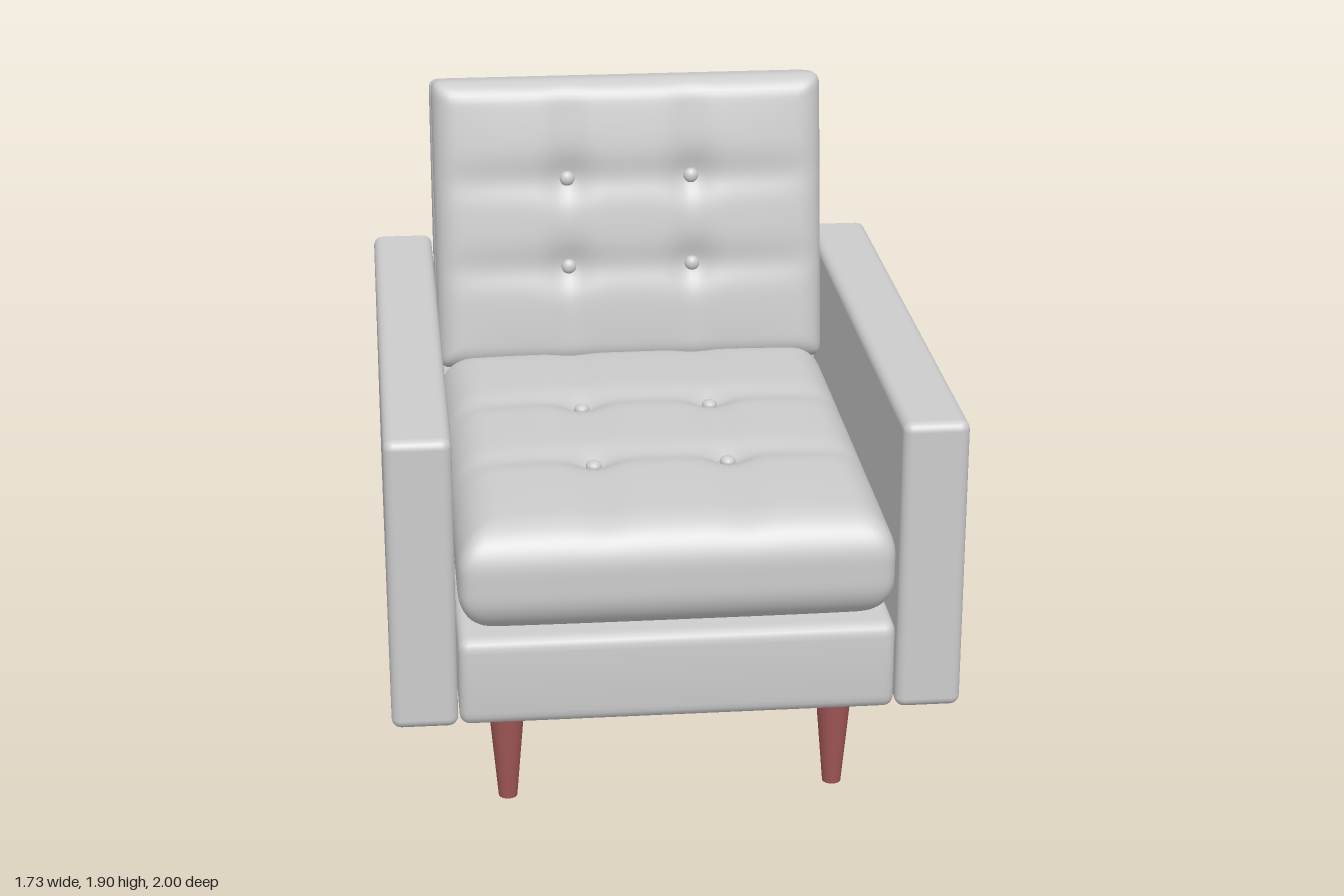
import * as THREE from 'three';
import { mergeVertices, toCreasedNormals } from 'three/addons/utils/BufferGeometryUtils.js';
import { RoundedBoxGeometry } from 'three/addons/geometries/RoundedBoxGeometry.js';

const fabric = new THREE.MeshStandardMaterial({ color: 0xcccccc });
const wood = new THREE.MeshStandardMaterial({ color: 0xa05656 });

function part(name, geometry, material, x = 0, y = 0, z = 0) {
  const mesh = new THREE.Mesh(geometry, material);
  mesh.name = name;
  mesh.position.set(x, y, z);
  return mesh;
}

// Closed outline with every corner softened by radius r
function softOutline(points, r) {
  const shape = new THREE.Shape();
  const pts = points.map(([x, y]) => new THREE.Vector2(x, y));
  pts.forEach((p, i) => {
    const prev = pts[(i + pts.length - 1) % pts.length];
    const next = pts[(i + 1) % pts.length];
    const a = prev.clone().sub(p).setLength(r).add(p);
    const b = next.clone().sub(p).setLength(r).add(p);
    if (i === 0) shape.moveTo(a.x, a.y);
    else shape.lineTo(a.x, a.y);
    shape.quadraticCurveTo(p.x, p.y, b.x, b.y);
  });
  shape.closePath();
  return shape;
}

// Pillow lying flat, with its top pulled in along button rows
function cushion(name, { w, h, d, r, crown, groove, dip, rows }) {
  const cols = [-0.21, 0.21];
  const group = new THREE.Group();
  group.name = name;

  const swell = (x, z) => crown * (1 - (2 * x / w) ** 4) * (1 - (2 * z / d) ** 4);
  const bell = (t, s) => Math.exp(-((t / s) ** 2));
  const tuft = (x, z) => {
    const fade = Math.max(0, 1 - (2 * x / w) ** 6) * Math.max(0, 1 - (2 * z / d) ** 6);
    let sum = 0;
    for (const c of cols) sum += groove * bell(x - c, 0.06);
    for (const q of rows) sum += groove * bell(z - q, 0.06);
    for (const c of cols) for (const q of rows) sum += dip * bell(Math.hypot(x - c, z - q), 0.075);
    return sum * fade;
  };

  let geo = new THREE.BoxGeometry(w, h, d, 64, 16, 64);
  geo.deleteAttribute('uv');
  geo.deleteAttribute('normal');
  geo = mergeVertices(geo, 1e-5);
  const pos = geo.attributes.position;
  const v = new THREE.Vector3();
  const core = new THREE.Vector3();
  const limit = new THREE.Vector3(w / 2 - r, h / 2 - r, d / 2 - r);
  for (let i = 0; i < pos.count; i++) {
    v.fromBufferAttribute(pos, i);
    core.copy(v).clamp(limit.clone().negate(), limit);
    v.sub(core);
    // round edges, but keep the plan corners fairly square
    const plan = (Math.abs(v.x) ** 5 + Math.abs(v.z) ** 5) ** 0.2;
    v.multiplyScalar(r / Math.hypot(plan, v.y)).add(core);
    const k = THREE.MathUtils.smoothstep(Math.abs(v.y), 0, h / 2);
    const s = swell(v.x, v.z);
    v.y += v.y > 0 ? k * (s - tuft(v.x, v.z)) : -k * s * 0.5;
    pos.setXYZ(i, v.x, v.y, v.z);
  }
  geo.computeVertexNormals();
  group.add(part(name + 'Pad', geo, fabric));

  const ball = new THREE.SphereGeometry(0.025, 20, 14);
  for (const x of cols) for (const z of rows) {
    const y = h / 2 + swell(x, z) - tuft(x, z) + 0.008;
    const button = part('button', ball, fabric, x, y, z);
    button.scale.y = 0.75;
    group.add(button);
  }
  return group;
}

export function createModel() {
  const chair = new THREE.Group();
  chair.name = 'armchair';

  // Base and sloping backrest in one side profile (z, y)
  const profile = softOutline([
    [0.98, 0.355], [0.98, 0.64], [-0.68, 0.64],
    [-0.88, 1.85], [-1, 1.85], [-1, 0.355],
  ], 0.045);
  const bevel = 0.03;
  let frame = new THREE.ExtrudeGeometry(profile, {
    depth: 1.32 - 2 * bevel, curveSegments: 5, bevelEnabled: true,
    bevelThickness: bevel, bevelSize: bevel, bevelOffset: -bevel, bevelSegments: 4,
  });
  frame.translate(0, 0, -(0.66 - bevel)).rotateY(-Math.PI / 2);
  frame = toCreasedNormals(frame, 0.7);
  chair.add(part('baseAndBackFrame', frame, fabric));

  // Arms
  const arm = new RoundedBoxGeometry(0.2, 0.93, 1.98, 4, 0.03);
  for (const side of [1, -1]) {
    chair.add(part(side > 0 ? 'leftArm' : 'rightArm', arm, fabric, side * 0.765, 0.82, -0.01));
  }

  // Seat cushion
  const seat = cushion('seatCushion', {
    w: 1.315, h: 0.335, d: 1.62, r: 0.13, crown: 0.025, groove: 0.014, dip: 0.025, rows: [-0.25, 0.245],
  });
  seat.position.set(0, 0.82, 0.19);
  chair.add(seat);

  // Back cushion, leaning with the backrest
  const back = cushion('backCushion', {
    w: 1.315, h: 0.205, d: 0.98, r: 0.075, crown: 0.02, groove: 0.012, dip: 0.022, rows: [-0.155, 0.145],
  });
  back.position.set(0, 1.41, -0.705);
  back.rotation.x = Math.PI / 2 - 0.165;
  chair.add(back);

  // Tapered legs
  const leg = new THREE.CylinderGeometry(0.062, 0.029, 0.38, 24);
  for (const x of [-0.51, 0.51]) for (const z of [0.75, -0.76]) {
    chair.add(part(z > 0 ? 'frontLeg' : 'backLeg', leg, wood, x, 0.19, z));
  }
  return chair;
}
